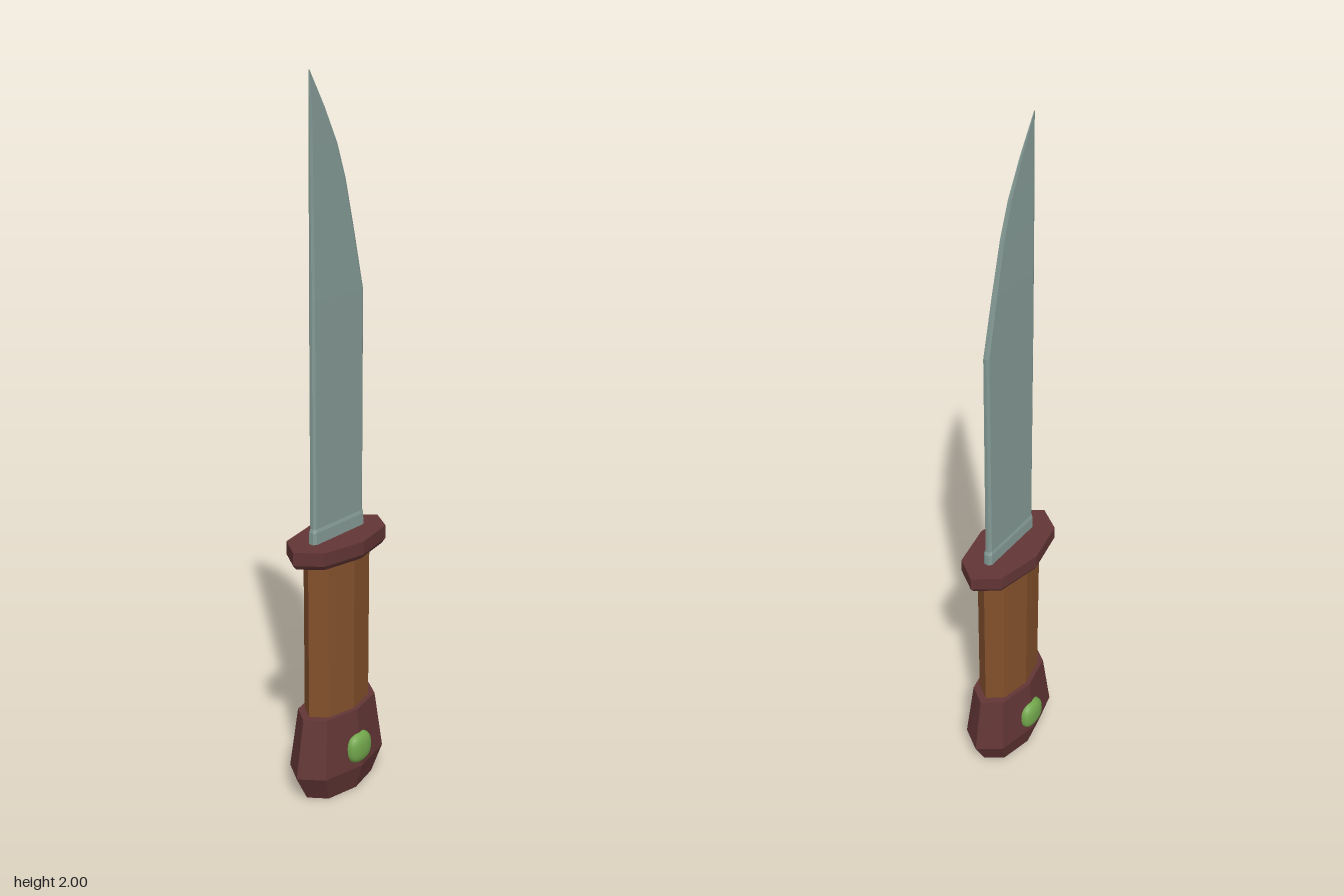
import * as THREE from 'three';

const steel = new THREE.MeshStandardMaterial({ color: 0x849a95 });
const wood = new THREE.MeshStandardMaterial({ color: 0x83502c });
const oxblood = new THREE.MeshStandardMaterial({ color: 0x623535 });
const gemGreen = new THREE.MeshStandardMaterial({ color: 0x72a64c });
steel.name = 'steel';
wood.name = 'wood';
oxblood.name = 'oxblood';
gemGreen.name = 'gemGreen';

// Faceted solid through stacked rings; ring = { y, pts: [[x, z], ...] }, turning from +x to +z
function loft(rings) {
  const pos = [];
  const n = rings[0].pts.length;
  const at = (r, i) => {
    const p = rings[r].pts[i % n];
    return [p[0], rings[r].y, p[1]];
  };
  const tri = (a, b, c) => pos.push(...a, ...b, ...c);
  const last = rings.length - 1;
  for (let r = 0; r < last; r++) {
    for (let i = 0; i < n; i++) {
      tri(at(r, i), at(r + 1, i), at(r, i + 1));
      tri(at(r, i + 1), at(r + 1, i), at(r + 1, i + 1));
    }
  }
  for (let i = 1; i < n - 1; i++) {
    tri(at(0, 0), at(0, i), at(0, i + 1));
    tri(at(last, 0), at(last, i + 1), at(last, i));
  }
  const g = new THREE.BufferGeometry();
  g.setAttribute('position', new THREE.Float32BufferAttribute(pos, 3));
  g.computeVertexNormals();
  return g;
}

// Pointed eight-sided outline shared by guard, grip and pommel
const outline = (y, hx, hz) => ({
  y,
  pts: [[1, 0], [0.73, 0.71], [0, 1], [-0.73, 0.71], [-1, 0], [-0.73, -0.71], [0, -1], [0.73, -0.71]]
    .map(([x, z]) => [x * hx, z * hz]),
});

// Thin blade section from x0 to x1 with half thickness t and bevelled corners
function section(y, x0, x1, t) {
  const c = Math.min(0.008, (x1 - x0) / 3);
  const e = t * 0.5;
  return {
    y,
    pts: [[x1, -e], [x1, e], [x1 - c, t], [x0 + c, t], [x0, e], [x0, -e], [x0 + c, -t], [x1 - c, -t]],
  };
}

export function createModel() {
  const group = new THREE.Group();
  const add = (name, geometry, material) => {
    const mesh = new THREE.Mesh(geometry, material);
    mesh.name = name;
    group.add(mesh);
    return mesh;
  };

  // Pommel, grip and guard
  add('pommel', loft([
    outline(0, 0.132, 0.072), outline(0.08, 0.175, 0.094), outline(0.255, 0.145, 0.076),
  ]), oxblood);
  add('grip', loft([outline(0.2, 0.12, 0.063), outline(0.74, 0.12, 0.063)]), wood);
  add('guard', loft([
    outline(0.72, 0.168, 0.085), outline(0.734, 0.18, 0.094), outline(0.772, 0.18, 0.094),
  ]), oxblood);

  // Blade collar and clipped blade
  add('bladeCollar', loft([
    section(0.76, -0.107, 0.107, 0.014), section(0.805, -0.107, 0.107, 0.013),
    section(0.815, -0.104, 0.103, 0.0105),
  ]), steel);
  add('blade', loft([
    section(0.8, -0.104, 0.103, 0.0105), section(1.435, -0.104, 0.103, 0.0085),
    section(1.59, -0.104, 0.067, 0.007), section(1.73, -0.104, 0.032, 0.0055),
    section(1.82, -0.104, 0, 0.0042), section(1.91, -0.104, -0.047, 0.0025),
    section(2, -0.104, -0.102, 0.0008),
  ]), steel);

  // Rounded gems on both faces of the pommel
  for (const side of [1, -1]) {
    const g = new THREE.SphereGeometry(1, 24, 16);
    const p = g.attributes.position;
    const v = new THREE.Vector3();
    for (let i = 0; i < p.count; i++) {
      v.fromBufferAttribute(p, i);
      const k = (Math.abs(v.x) ** 2.6 + Math.abs(v.y) ** 2.6 + Math.abs(v.z) ** 2.6) ** (-1 / 2.6);
      p.setXYZ(i, v.x * k * 0.045, v.y * k * 0.045, v.z * k * 0.025);
    }
    g.computeVertexNormals();
    add(side > 0 ? 'frontGem' : 'backGem', g, gemGreen).position.set(0, 0.138, side * 0.08);
  }

  return group;
}
